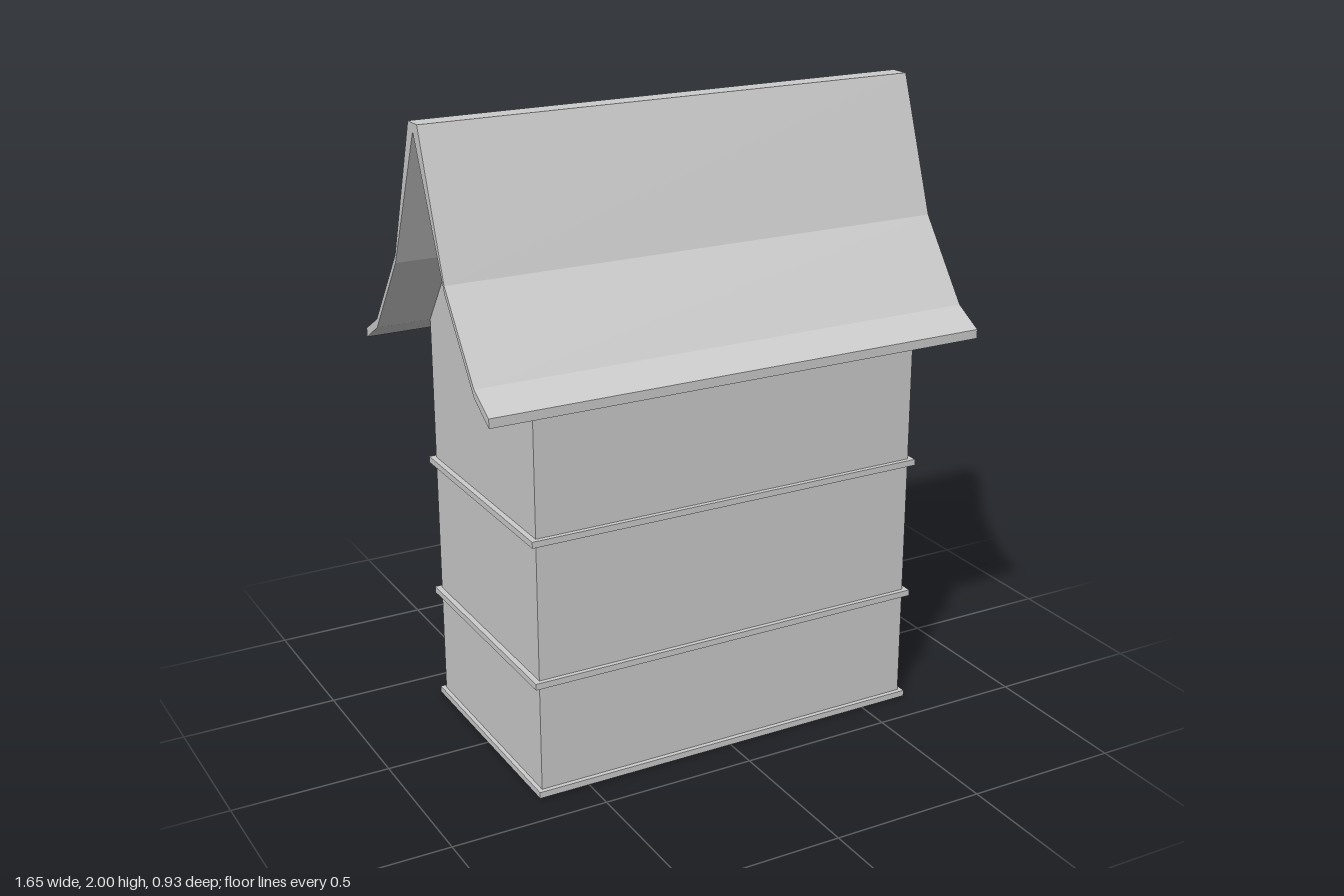
import * as THREE from 'three';

const material = new THREE.MeshStandardMaterial({ color: 0xcccccc, flatShading: true });

// Underside and top of one roof slope as [z, y], from ridge to eave
const under = [[0, 1.975], [0.185, 1.55], [0.37, 1.3], [0.465, 1.243]];
const upper = [[0.033, 2], [0.185, 1.575], [0.37, 1.327], [0.465, 1.272]];

const mirror = (points) => points.map(([z, y]) => [-z, y]);

// Extrudes a [z, y] outline along x, centred on x = 0
function prism(name, outline, length) {
  const shape = new THREE.Shape(outline.map(([z, y]) => new THREE.Vector2(z, y)));
  const geometry = new THREE.ExtrudeGeometry(shape, { depth: length, bevelEnabled: false });
  geometry.translate(0, 0, -length / 2);
  geometry.rotateY(Math.PI / 2);
  const mesh = new THREE.Mesh(geometry, material);
  mesh.name = name;
  return mesh;
}

export function createModel() {
  const model = new THREE.Group();
  model.name = 'gabledHouse';

  // Walls with gables that follow the underside of the roof
  const wall = [...under.slice(1, 3), [0.37, 0]];
  model.add(prism('walls', [under[0], ...wall, ...mirror(wall).reverse()], 1.302));

  // Flared roof with a flat ridge
  const slope = [...upper, ...[...under].reverse()];
  const otherSlope = mirror([...under.slice(1), ...[...upper].reverse()]);
  model.add(prism('roof', [...slope, ...otherSlope], 1.65));

  // Base moulding and floor bands: bottom, top, width
  const bands = [
    ['baseMoulding', 0, 0.02, 1.33],
    ['lowerBand', 0.366, 0.386, 1.338],
    ['upperBand', 0.822, 0.842, 1.338],
  ];
  for (const [name, bottom, top, width] of bands) {
    const band = new THREE.Mesh(new THREE.BoxGeometry(width, top - bottom, 0.77), material);
    band.position.y = (bottom + top) / 2;
    band.name = name;
    model.add(band);
  }
  return model;
}
